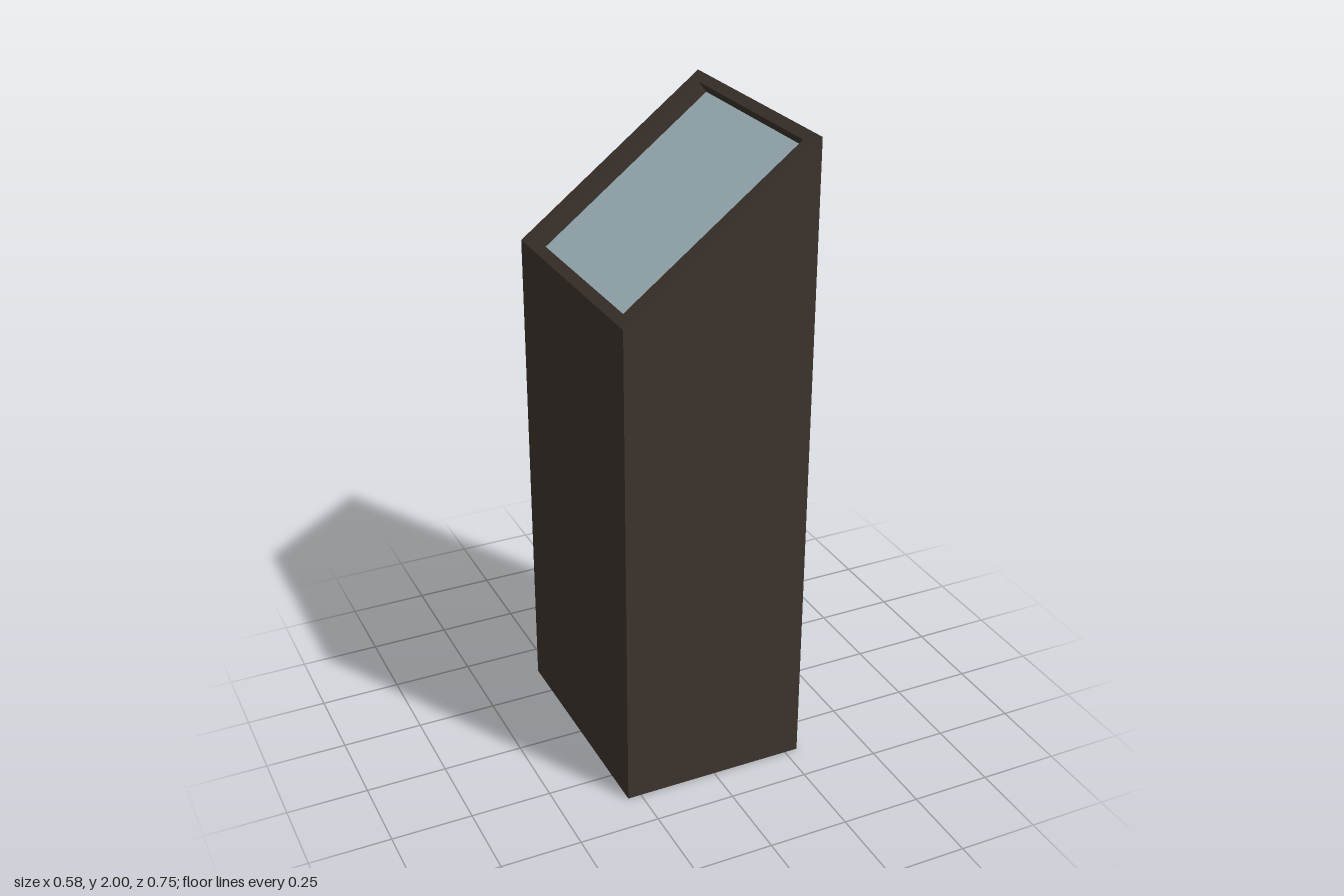
import * as THREE from 'three';

const HALF_X = 0.292, HALF_Z = 0.375;
const LOW = 1.55, HIGH = 2;
const INNER_X = 0.266, INNER_Z = 0.317, RECESS = 0.042;

const slope = (HIGH - LOW) / (2 * HALF_X);
const topY = (x) => (LOW + HIGH) / 2 + slope * x;
// unit normal of the sloping top
const length = Math.hypot(slope, 1);
const normal = { x: -slope / length, y: 1 / length };

// four corners, counterclockwise from above, with the height given by x
// and an optional sink at right angles to the sloping top
function ring(hx, hz, height, sink = 0) {
  return [[-hx, hz], [hx, hz], [hx, -hz], [-hx, -hz]].map(([x, z]) =>
    [x - normal.x * sink, height(x) - normal.y * sink, z]);
}

function quads(list) {
  const points = list.flatMap(([a, b, c, d]) => [a, b, c, a, c, d]).flat();
  const geometry = new THREE.BufferGeometry();
  geometry.setAttribute('position', new THREE.Float32BufferAttribute(points, 3));
  geometry.computeVertexNormals();
  return geometry;
}

// band of four faces between two rings
const band = (a, b) => a.map((p, i) => [p, a[(i + 1) % 4], b[(i + 1) % 4], b[i]]);

function add(group, name, geometry, material) {
  const mesh = new THREE.Mesh(geometry, material);
  mesh.name = name;
  group.add(mesh);
}

export function createModel() {
  const brown = new THREE.MeshStandardMaterial({ color: 0x3d342d });
  brown.name = 'dark brown';
  const glass = new THREE.MeshStandardMaterial({ color: 0xa2b8be });
  glass.name = 'pale blue glass';

  const base = ring(HALF_X, HALF_Z, () => 0);
  const outer = ring(HALF_X, HALF_Z, topY);
  const inner = ring(INNER_X, INNER_Z, topY);
  const floor = ring(INNER_X, INNER_Z, topY, RECESS);

  const group = new THREE.Group();
  group.name = 'slantedPedestal';
  // walls and underside
  add(group, 'pedestalBody', quads([...band(base, outer), [...base].reverse()]), brown);
  // sloping frame and the walls of its recess
  add(group, 'topFrame', quads([...band(outer, inner), ...band(inner, floor)]), brown);
  // pane sunk into the frame
  add(group, 'displayPane', quads([floor]), glass);
  return group;
}
